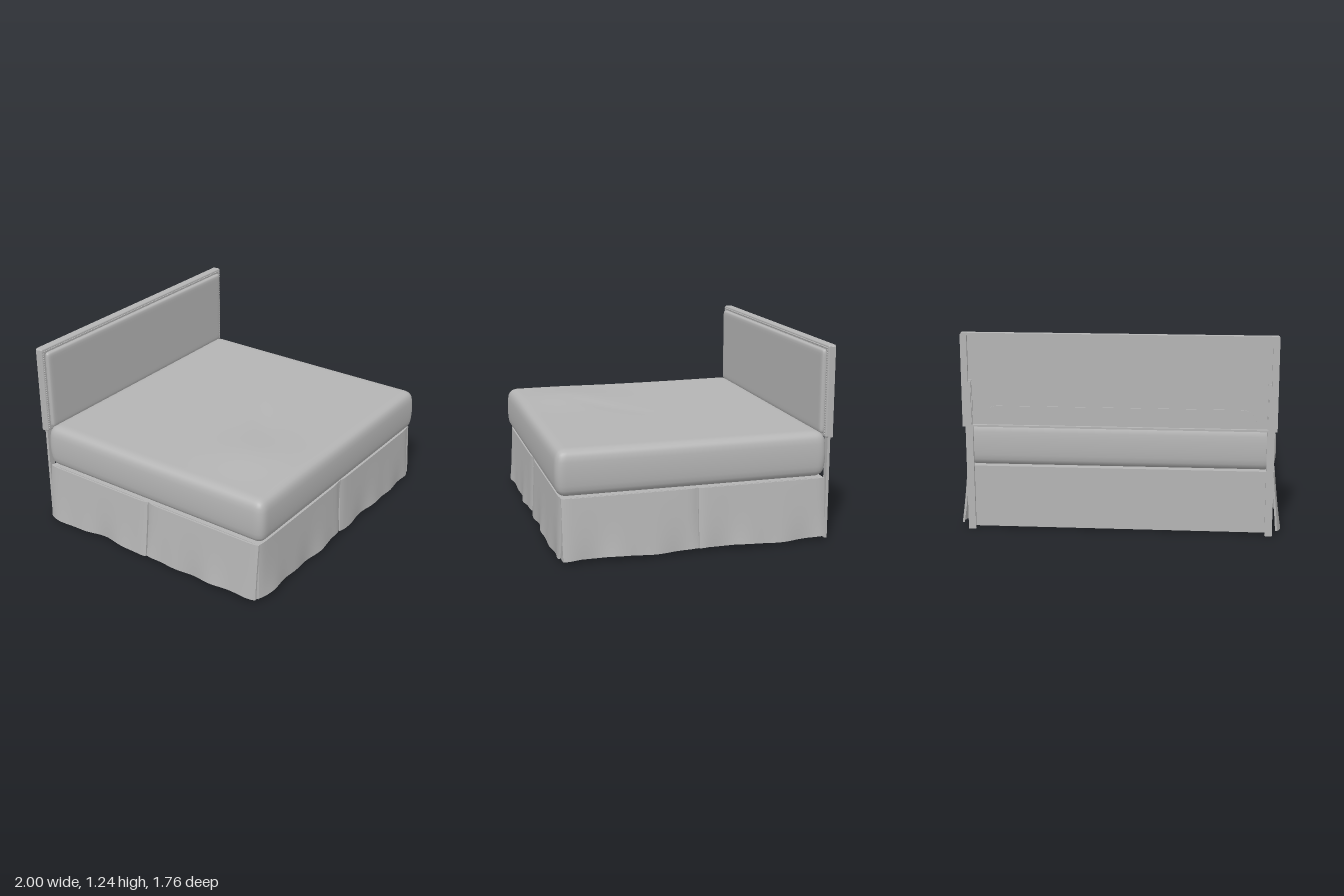
import * as THREE from 'three';
import { mergeGeometries, mergeVertices } from 'three/addons/utils/BufferGeometryUtils.js';
import { RoundedBoxGeometry } from 'three/addons/geometries/RoundedBoxGeometry.js';

// Box with soft rounded edges and fine faces; bend(p) then shapes each point
function softBox(w, h, d, r, segs, bend) {
  let g = new THREE.BoxGeometry(2, 2, 2, ...segs);
  const half = new THREE.Vector3(w / 2, h / 2, d / 2);
  const inner = half.clone().subScalar(r);
  const pos = g.attributes.position;
  const p = new THREE.Vector3(), c = new THREE.Vector3();
  const ease = (u) => Math.sin(u * Math.PI / 2); // packs points near the edges
  for (let i = 0; i < pos.count; i++) {
    p.fromBufferAttribute(pos, i);
    p.set(ease(p.x), ease(p.y), ease(p.z)).multiply(half);
    c.copy(p).clamp(inner.clone().negate(), inner);
    p.sub(c).setLength(r).add(c);
    if (bend) bend(p);
    pos.setXYZ(i, p.x, p.y, p.z);
  }
  g.deleteAttribute('normal');
  g.deleteAttribute('uv');
  g = mergeVertices(g, 1e-5);
  g.computeVertexNormals();
  return g;
}

// Hanging cloth panel: x along the bed edge, top at y = 0, outward is +z
function skirtPanel(width, height, flare, phase) {
  const g = new THREE.BoxGeometry(width, height, 0.012, 48, 16, 1);
  g.translate(0, -height / 2, 0);
  const pos = g.attributes.position;
  for (let i = 0; i < pos.count; i++) {
    const x = pos.getX(i), y = pos.getY(i), t = -y / height;
    const wave = Math.sin(x * 11 + phase) * 0.6 + Math.sin(x * 23 + phase * 2.3) * 0.4;
    const roll = 0.012 * Math.pow(Math.abs(2 * x / width), 16); // turned-in side edges
    pos.setZ(i, pos.getZ(i) + flare * t + 0.013 * wave * t * t * t - roll);
    pos.setY(i, y + t * t * t * 0.008 * Math.sin(x * 9 + phase * 1.7));
  }
  g.computeVertexNormals();
  return g;
}

export function createModel() {
  const bed = new THREE.Group();
  bed.name = 'bed';
  const fabric = new THREE.MeshStandardMaterial({ color: 0xb4b4b4 });
  fabric.name = 'grey fabric';
  const add = (name, geometry, x = 0, y = 0, z = 0, ry = 0) => {
    const m = new THREE.Mesh(geometry, fabric);
    m.name = name;
    m.position.set(x, y, z);
    m.rotation.y = ry;
    bed.add(m);
    return m;
  };

  // Base
  add('base', new THREE.BoxGeometry(1.87, 0.39, 1.67), 0, 0.205, 0);

  // Mattress with bulging sides and a gently rumpled top
  const bump = (x, z, cx, cz, s) => Math.exp(-((x - cx) ** 2 + (z - cz) ** 2) / s);
  const mattress = softBox(1.88, 0.29, 1.695, 0.055, [48, 12, 48], (p) => {
    const bulge = 0.014 * (1 - (p.y / 0.145) ** 2);
    p.x += bulge * p.x / 0.94;
    p.z += bulge * p.z / 0.85;
    const up = Math.max(0, p.y / 0.145) ** 4;
    const along = (p.x * 0.8 - p.z * 0.6), across = (p.x * 0.6 + p.z * 0.8);
    const crease = Math.exp(-((across - 0.16) ** 2) / 0.006 - ((along + 0.25) ** 2) / 0.12);
    p.y += up * (0.024 * bump(p.x, p.z, -0.5, 0.47, 0.08) - 0.006 * crease
      + 0.004 * Math.sin(p.x * 3 + 1) * Math.cos(p.z * 2));
  });
  add('mattress', mattress, 0, 0.548, 0.008);

  // Skirt panels: two at the front and two on each side
  const h = 0.375;
  for (const s of [-1, 1]) {
    add('frontSkirt', skirtPanel(0.925, h, 0.02, s * 1.3), s * 0.47 - 0.008, 0.4, 0.838);
    add('sideSkirtFront', skirtPanel(0.835, h, 0.037, 0.8 + s), s * 0.945, 0.4, 0.42, s * Math.PI / 2);
    add('sideSkirtBack', skirtPanel(0.83, h, 0.037, 3.1 - s), s * 0.945, 0.4, -0.425, s * Math.PI / 2);
  }

  // Headboard slab with a raised rim behind it
  add('headboard', new RoundedBoxGeometry(1.91, 0.58, 0.03, 3, 0.01), 0, 0.95, -0.846);
  const rim = new THREE.Shape();
  rim.moveTo(-0.955, 0.66).lineTo(0.955, 0.66).lineTo(0.955, 1.23)
    .lineTo(0.945, 1.24).lineTo(-0.945, 1.24).lineTo(-0.955, 1.23).closePath();
  const recess = new THREE.Path();
  recess.moveTo(-0.915, 0.672).lineTo(-0.915, 1.226).lineTo(0.915, 1.226).lineTo(0.915, 0.672).closePath();
  rim.holes.push(recess);
  add('headboardRim', new THREE.ExtrudeGeometry(rim, { depth: 0.03, bevelEnabled: false }), 0, 0, -0.88);

  // Padded front of the headboard
  add('headboardCushion', softBox(1.85, 0.53, 0.046, 0.022, [40, 20, 8]), 0, 0.945, -0.829);

  // Low rounded pad on the back
  const pad = new THREE.Shape();
  pad.moveTo(-0.84, 0.675).lineTo(0.84, 0.675).quadraticCurveTo(0.82, 0.79, 0.74, 0.79)
    .lineTo(-0.74, 0.79).quadraticCurveTo(-0.82, 0.79, -0.84, 0.675);
  add('backPad', new THREE.ExtrudeGeometry(pad, { depth: 0.008, bevelEnabled: false, curveSegments: 10 }), 0, 0, -0.866);

  // Row of small nail heads around the cushion
  const studs = [];
  const stud = (x, y) => studs.push(new THREE.SphereGeometry(0.006, 6, 4).translate(x, y, -0.831));
  for (let i = 0; i <= 124; i++) stud(-0.941 + i * 1.882 / 124, 1.222);
  for (let i = 1; i <= 36; i++) for (const s of [-1, 1]) stud(s * 0.941, 1.222 - i * 0.015);
  add('nailHeads', mergeGeometries(studs));

  // Posts that carry the headboard, with a bracket plate on each
  for (const s of [-1, 1]) {
    add('post', new THREE.BoxGeometry(0.045, 0.95, 0.018), s * 0.917, 0.475, -0.862);
    add('bracket', new THREE.BoxGeometry(0.03, 0.28, 0.012), s * 0.915, 0.8, -0.874);
  }
  return bed;
}
